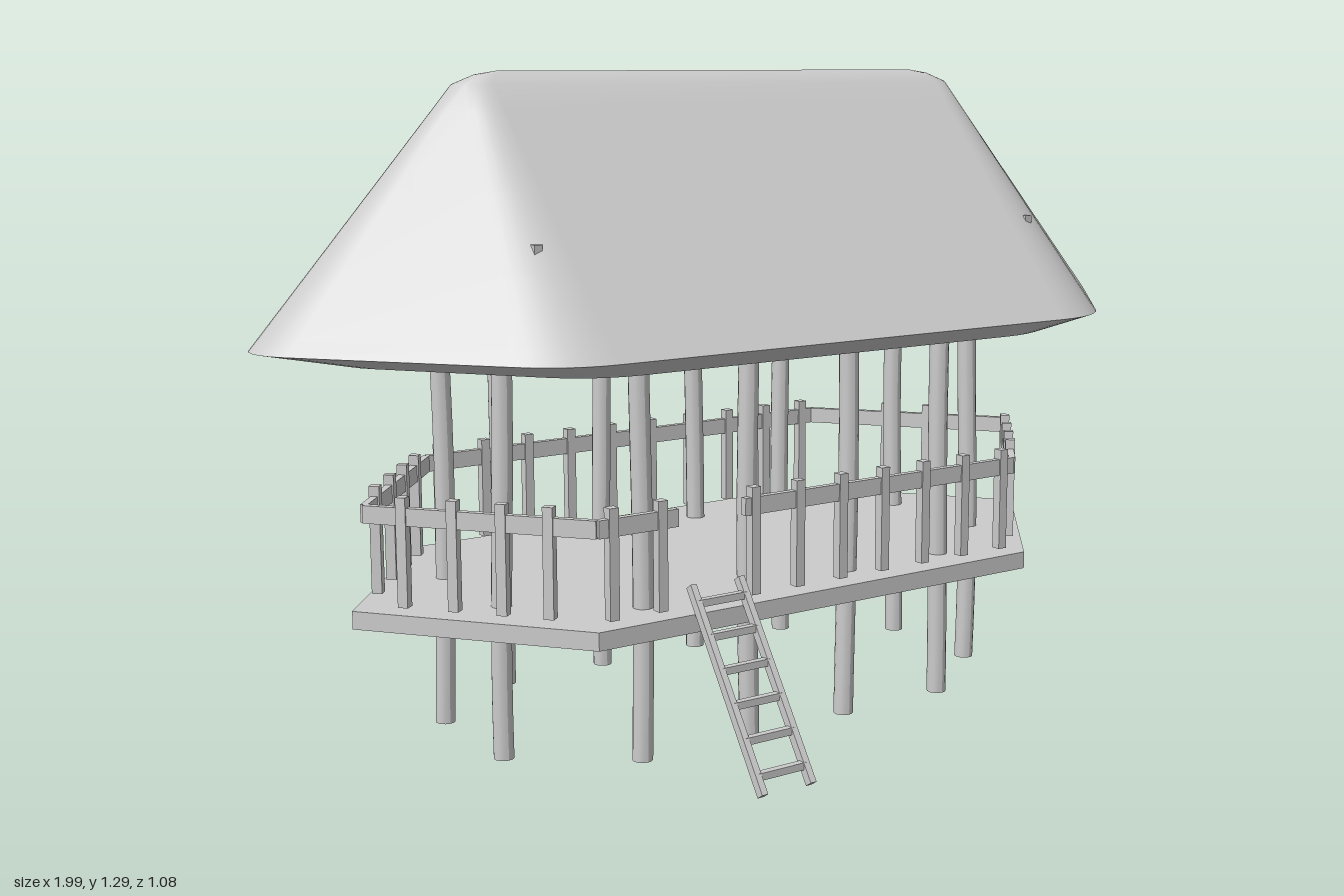
import * as THREE from 'three';

const ZC = -0.065; // centre line of the hut
const material = new THREE.MeshStandardMaterial({ color: 0xcccccc });

function add(parent, name, geometry) {
  const mesh = new THREE.Mesh(geometry, material);
  mesh.name = name;
  parent.add(mesh);
  return mesh;
}

function subGroup(parent, name) {
  const g = new THREE.Group();
  g.name = name;
  parent.add(g);
  return g;
}

// Long hexagon: tip at x = a, corners at (b, w)
const hexagon = (a, b, w) =>
  [[a, 0], [b, w], [-b, w], [-a, 0], [-b, -w], [b, -w]].map(([x, z]) => new THREE.Vector2(x, z));

// Hexagon ring with corners rounded by r, at height y
function ring({ y, a, b, w, r }) {
  const c = hexagon(a, b, w);
  const points = [];
  c.forEach((p, i) => {
    const toward = (q) => {
      const d = q.clone().sub(p);
      return p.clone().addScaledVector(d.normalize(), r);
    };
    const curve = new THREE.QuadraticBezierCurve(toward(c[(i + 5) % 6]), p, toward(c[(i + 1) % 6]));
    for (const q of curve.getPoints(6)) points.push([q.x, y, q.y + ZC]);
  });
  return points;
}

// Smooth skin through closed rings
function loft(rings) {
  const n = rings[0].length;
  const index = [];
  for (let j = 0; j < rings.length - 1; j++) {
    for (let i = 0; i < n; i++) {
      const k = (i + 1) % n;
      const p = j * n, u = p + n;
      index.push(p + i, u + i, p + k, p + k, u + i, u + k);
    }
  }
  const g = new THREE.BufferGeometry();
  g.setAttribute('position', new THREE.Float32BufferAttribute(rings.flat(2), 3));
  g.setIndex(index);
  g.computeVertexNormals();
  return g;
}

// Square-section bar from p to q
function bar(parent, name, p, q, width, height) {
  const from = new THREE.Vector3(...p), to = new THREE.Vector3(...q);
  const mesh = add(parent, name, new THREE.BoxGeometry(width, height, from.distanceTo(to)));
  mesh.position.copy(from).lerp(to, 0.5);
  mesh.lookAt(to);
  return mesh;
}

function buildRoof(root) {
  const roof = subGroup(root, 'roof');
  const eave = { y: 0.8, a: 1.03, b: 0.62, w: 0.475, r: 0.1 };
  const shoulder = { y: 1.27, a: 0.6, b: 0.56, w: 0.05, r: 0.03 };
  const mix = (t) => Object.fromEntries(
    Object.keys(eave).map((k) => [k, THREE.MathUtils.lerp(eave[k], shoulder[k], t)]));
  const lip = { y: 0.765, a: 0.86, b: 0.53, w: 0.41, r: 0.1 };
  const ceiling = { y: 0.88, a: 0.8, b: 0.49, w: 0.375, r: 0.1 };

  add(roof, 'roofSlopes', loft([
    ...[0, 0.06, 0.3, 0.6, 0.9, 1].map((t) => ring(mix(t))),
    ring({ y: 1.288, a: 0.55, b: 0.53, w: 0.022, r: 0.014 }),
    ring({ y: 1.295, a: 0.5, b: 0.49, w: 0.001, r: 0.0005 }),
  ]));
  add(roof, 'eaveUnderside', loft([ring(lip), ring(eave)]));
  add(roof, 'innerRim', loft([ring(ceiling), ring(lip)]));
  add(roof, 'ceiling', loft([
    ring({ y: 0.88, a: 0.5, b: 0.49, w: 0.001, r: 0.0005 }), ring(ceiling),
  ]));

  // Cross beams whose ends just break through the slopes
  for (const x of [-0.58, 0.58]) {
    bar(roof, 'crossBeam', [x, 0.985, ZC - 0.301], [x, 0.985, ZC + 0.301], 0.016, 0.02);
  }
}

function buildDeck(root) {
  const shape = new THREE.Shape(hexagon(0.825, 0.515, 0.38));
  const g = new THREE.ExtrudeGeometry(shape, { depth: 0.035, bevelEnabled: false });
  g.rotateX(-Math.PI / 2);
  add(root, 'deck', g).position.set(0, 0.265, -0.062);
}

// Slightly crooked round posts carrying deck and roof
function buildPosts(root) {
  const posts = subGroup(root, 'posts');
  const spots = [];
  for (const x of [-0.365, -0.12, 0.12, 0.36]) spots.push([x, 0.22], [x, -0.34]);
  for (const x of [-0.575, 0.572]) spots.push([x, 0.065], [x, -0.187]);
  spots.forEach(([x, z], i) => {
    const g = new THREE.CylinderGeometry(0.02, 0.02, 0.89, 14, 10);
    g.translate(0, 0.445, 0);
    const pos = g.attributes.position;
    for (let k = 0; k < pos.count; k++) {
      const s = Math.sin(pos.getY(k) * 5 + i * 1.3) * 0.004;
      pos.setX(k, pos.getX(k) + s);
      if (Math.abs(x) > 0.5) pos.setZ(k, pos.getZ(k) + s);
    }
    g.computeVertexNormals();
    add(posts, 'post', g).position.set(x, 0, z);
  });
}

function buildRailing(root) {
  const railing = subGroup(root, 'railing');
  const zc = -0.062, half = 0.352, corner = 0.5, tip = 0.795, y = 0.483;
  const rail = (x0, z0, x1, z1) =>
    bar(railing, 'handRail', [x0, y, zc + z0], [x1, y, zc + z1], 0.014, 0.034);
  const baluster = (x, z, turn = 0) => {
    const m = add(railing, 'baluster', new THREE.BoxGeometry(0.02, 0.21, 0.02));
    m.position.set(x, 0.415, zc + z);
    m.rotation.y = turn;
  };

  // Long sides, with a gap at the ladder in front
  rail(-corner, -half, corner, -half);
  rail(-corner, half, -0.33, half);
  rail(-0.18, half, corner, half);
  for (let i = 0; i < 10; i++) {
    const x = -0.47 + i * 0.1044;
    baluster(x, -half);
    if (i !== 2) baluster(x, half);
  }

  // Slanted ends
  for (const sx of [-1, 1]) {
    for (const sz of [-1, 1]) {
      rail(sx * corner, sz * half, sx * tip, 0);
      const turn = sx * sz * Math.atan2(half, tip - corner);
      for (const t of [0.2, 0.4, 0.61, 0.83]) {
        baluster(sx * THREE.MathUtils.lerp(corner, tip, t), sz * half * (1 - t), turn);
      }
    }
  }
}

function buildLadder(root) {
  const ladder = subGroup(root, 'ladder');
  const y0 = 0.014, y1 = 0.35, z0 = 0.532, z1 = 0.3;
  for (const x of [-0.305, -0.197]) {
    bar(ladder, 'ladderRail', [x, y0, z0], [x, y1, z1], 0.013, 0.018);
  }
  for (let i = 0; i < 6; i++) {
    const t = 0.09 + i * 0.165;
    const y = THREE.MathUtils.lerp(y0, y1, t), z = THREE.MathUtils.lerp(z0, z1, t);
    bar(ladder, 'rung', [-0.305, y, z], [-0.197, y, z], 0.014, 0.014);
  }
}

export function createModel() {
  const root = new THREE.Group();
  root.name = 'stiltHut';
  buildRoof(root);
  buildDeck(root);
  buildPosts(root);
  buildRailing(root);
  buildLadder(root);
  return root;
}
